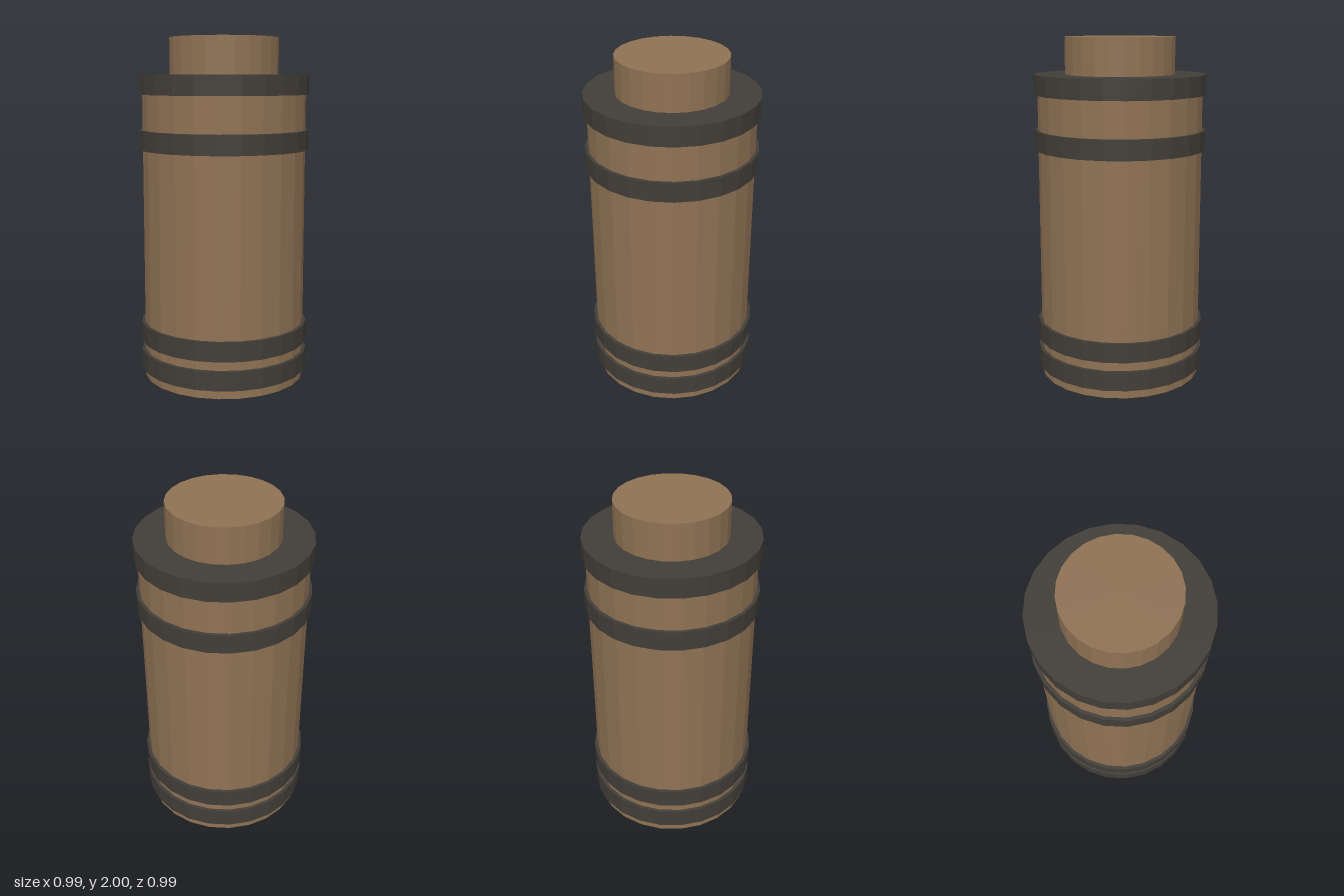
import * as THREE from 'three';

export function createModel() {
  const model = new THREE.Group();
  const wood = new THREE.MeshStandardMaterial({ color: 0x8f7254 });
  const iron = new THREE.MeshStandardMaterial({ color: 0x423e38 });
  wood.name = 'brown';
  iron.name = 'dark grey';
  wood.flatShading = iron.flatShading = true;

  // Upright 24-sided drum between two heights
  function drum(name, radius, bottom, top, material) {
    const geometry = new THREE.CylinderGeometry(radius, radius, top - bottom, 24);
    const mesh = new THREE.Mesh(geometry, material);
    mesh.name = name;
    mesh.position.y = (bottom + top) / 2;
    model.add(mesh);
  }

  // Main body, with its top just inside the uppermost band
  drum('body', 0.476, 0, 1.78, wood);

  // Narrow neck plug
  drum('neck', 0.317, 1.75, 2, wood);

  // Bands around the body, in pairs near the base and the top
  const bands = { lowestBand: 0.052, lowerBand: 0.22, upperBand: 1.36, topBand: 1.676 };
  for (const [name, bottom] of Object.entries(bands)) {
    drum(name, 0.495, bottom, bottom + 0.113, iron);
  }

  return model;
}
